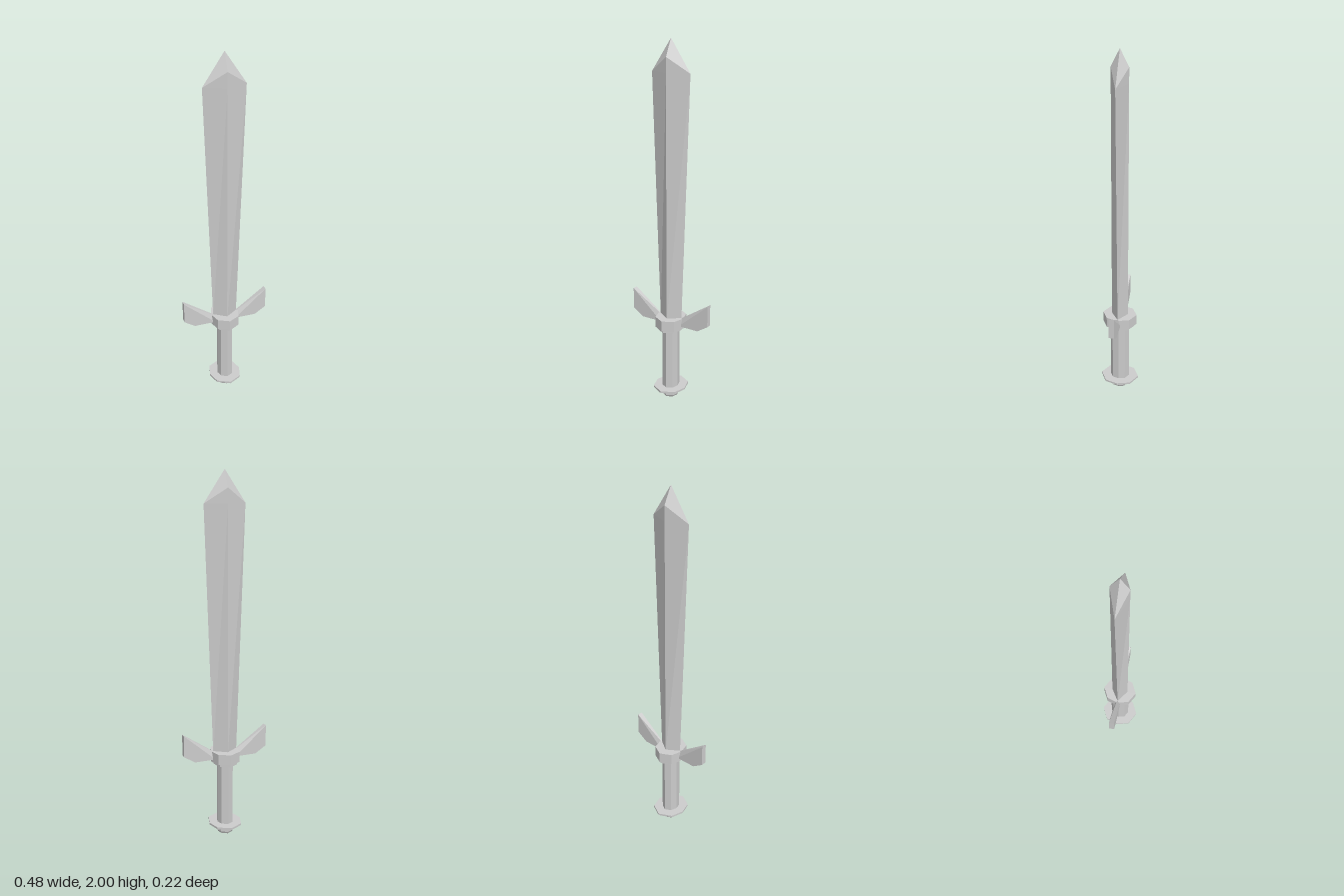
import * as THREE from 'three';

const material = new THREE.MeshStandardMaterial({ color: 0xcccccc, flatShading: true });

// Skin a stack of rings (equal point counts, counter-clockwise seen from the last ring) and cap both ends.
function loft(name, rings) {
  const pos = [];
  const tri = (a, b, c) => pos.push(...a, ...b, ...c);
  const n = rings[0].length;
  const last = rings[rings.length - 1];
  for (let r = 0; r < rings.length - 1; r++) {
    const lo = rings[r], hi = rings[r + 1];
    for (let i = 0; i < n; i++) {
      const j = (i + 1) % n;
      tri(lo[i], lo[j], hi[j]);
      tri(lo[i], hi[j], hi[i]);
    }
  }
  for (let i = 1; i < n - 1; i++) {
    tri(rings[0][0], rings[0][i + 1], rings[0][i]);
    tri(last[0], last[i], last[i + 1]);
  }
  const geometry = new THREE.BufferGeometry();
  geometry.setAttribute('position', new THREE.Float32BufferAttribute(pos, 3));
  geometry.computeVertexNormals();
  const mesh = new THREE.Mesh(geometry, material);
  mesh.name = name;
  return mesh;
}

// Eight-sided ring with a corner at the front, slightly deeper than wide.
const octagon = (y, rx, rz) =>
  [[0, 1], [0.77, 0.66], [1, 0], [0.77, -0.66], [0, -1], [-0.77, -0.66], [-1, 0], [-0.77, 0.66]]
    .map(([x, z]) => [x * rx, y, z * rz]);

// Diamond ring; the centre ridges may sit at a different height from the edges.
const diamond = (rx, rz, edgeY, ridgeY = edgeY) =>
  [[0, ridgeY, rz], [rx, edgeY, 0], [0, ridgeY, -rz], [-rx, edgeY, 0]];

// Stepped or straight octagonal part from [y, rx, rz] levels.
const turned = (name, levels) => loft(name, levels.map((l) => octagon(...l)));

// Guard wing on +x: side outline as [x, y, half thickness], thin at the upper root.
function wing(name) {
  const outline = [
    [0.06, 0.445, 0.015], [0.18, 0.445, 0.015], [0.242, 0.485, 0.015],
    [0.242, 0.605, 0.015], [0.07, 0.49, 0.004],
  ];
  return loft(name, [-1, 1].map((s) => outline.map(([x, y, t]) => [x, y, s * t])));
}

export function createModel() {
  const sword = new THREE.Group();
  sword.name = 'sword';

  // Blade widens upward, then comes to a faceted point
  sword.add(loft('blade', [
    diamond(0.068, 0.046, 0.47),
    diamond(0.115, 0.046, 1.83),
    diamond(0.115, 0.046, 1.83, 1.91),
    diamond(0, 0, 2),
  ]));

  // Collar with a narrower lip below
  sword.add(turned('collar', [
    [0.415, 0.066, 0.083], [0.43, 0.066, 0.083],
    [0.43, 0.08, 0.096], [0.49, 0.08, 0.096],
  ]));

  // Wings of the guard
  const right = wing('rightGuardWing');
  right.rotation.y = Math.PI;
  sword.add(wing('leftGuardWing'), right);

  // Grip
  sword.add(turned('grip', [[0.05, 0.044, 0.054], [0.42, 0.044, 0.054]]));

  // Pommel: wide thin disc above two smaller steps
  sword.add(turned('pommel', [
    [0, 0.04, 0.047], [0.012, 0.046, 0.054], [0.034, 0.046, 0.054],
    [0.034, 0.066, 0.07], [0.05, 0.066, 0.07],
    [0.05, 0.092, 0.108], [0.061, 0.092, 0.108],
  ]));

  return sword;
}
